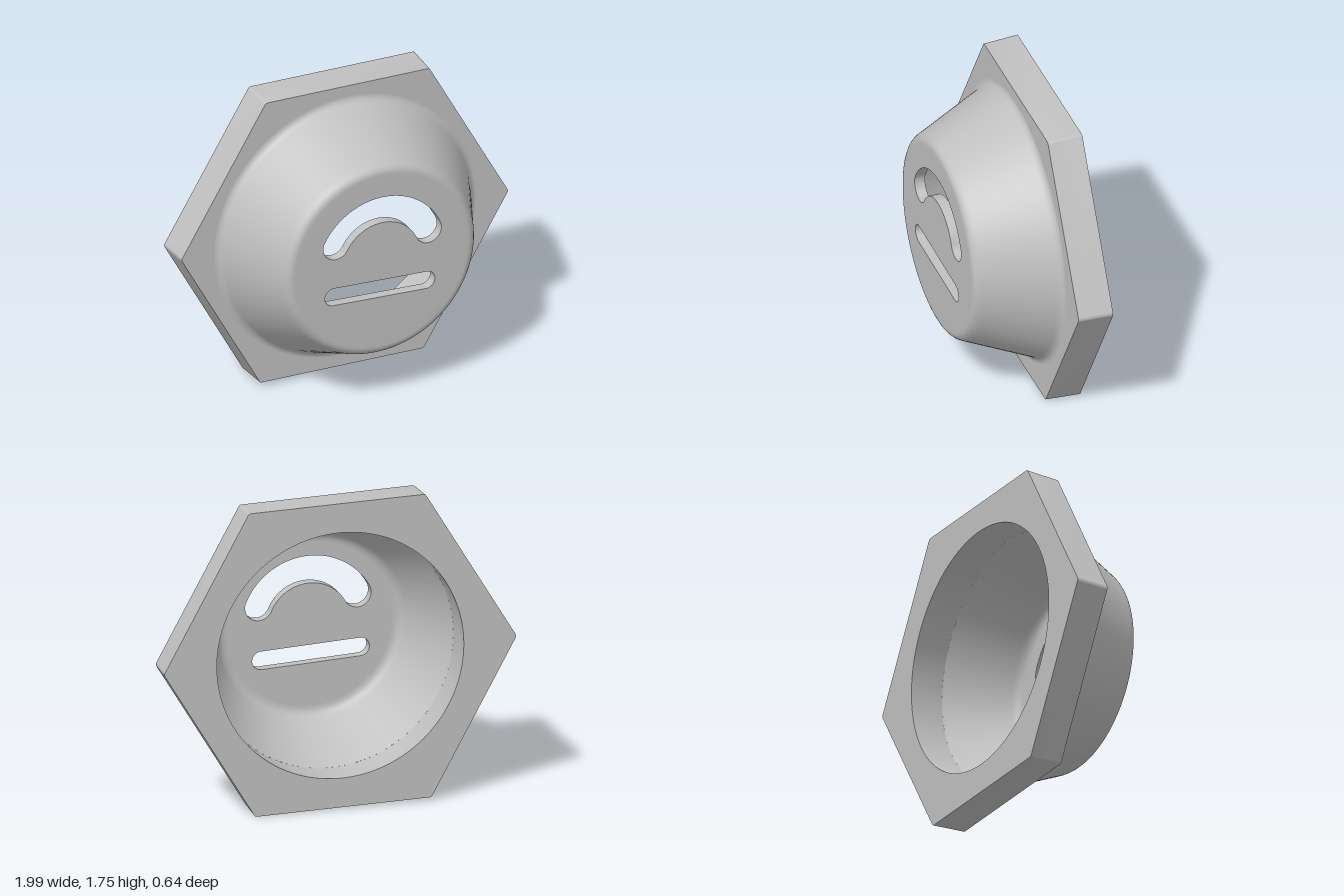
import * as THREE from 'three';
import { toCreasedNormals } from 'three/addons/utils/BufferGeometryUtils.js';

const SEGMENTS = 96;
const BACK = -0.323, STEP = -0.126, FRONT = 0.322, WALL = 0.06;
const FLAT = 0.47; // radius of the slotted face disc

// Hexagon with barely rounded corners and a round bore
function hexagonShape() {
  const shape = new THREE.Shape();
  const corner = (i) => new THREE.Vector2(Math.cos(i * Math.PI / 3), Math.sin(i * Math.PI / 3));
  for (let i = 0; i < 6; i++) {
    const c = corner(i);
    const a = c.clone().lerp(corner(i + 5), 0.012);
    const b = c.clone().lerp(corner(i + 1), 0.012);
    if (i === 0) shape.moveTo(a.x, a.y);
    else shape.lineTo(a.x, a.y);
    shape.quadraticCurveTo(c.x, c.y, b.x, b.y);
  }
  shape.closePath();
  shape.holes.push(new THREE.Path().absarc(0, 0, 0.7, 0, Math.PI * 2, true));
  return shape;
}

// Curved slot with round ends
function arcSlot(radius, half, halfSpan) {
  const a0 = Math.PI / 2 - halfSpan, a1 = Math.PI / 2 + halfSpan;
  const at = (a) => [radius * Math.cos(a), radius * Math.sin(a)];
  const path = new THREE.Path();
  path.absarc(0, 0, radius + half, a0, a1, false);
  path.absarc(...at(a1), half, a1, a1 + Math.PI, false);
  path.absarc(0, 0, radius - half, a1, a0, true);
  path.absarc(...at(a0), half, a0 + Math.PI, a0 + Math.PI * 2, false);
  return path;
}

// Straight slot with round ends
function straightSlot(y, halfLength, half) {
  const path = new THREE.Path();
  path.absarc(halfLength, y, half, -Math.PI / 2, Math.PI / 2, false);
  path.absarc(-halfLength, y, half, Math.PI / 2, Math.PI * 1.5, false);
  path.closePath();
  return path;
}

// Revolve a profile about the z axis
function revolve(path) {
  return new THREE.LatheGeometry(path.getPoints(8), SEGMENTS).rotateX(Math.PI / 2);
}

export function createModel() {
  const model = new THREE.Group();
  model.name = 'hexFlangedCup';
  const grey = new THREE.MeshStandardMaterial({ color: 0xc0c0c0 });
  grey.name = 'grey';
  const add = (parent, name, geometry) => {
    const mesh = new THREE.Mesh(geometry, grey);
    mesh.name = name;
    parent.add(mesh);
  };

  // Hexagonal flange, drafted slightly towards the front
  const plate = new THREE.ExtrudeGeometry(hexagonShape(), {
    depth: STEP - BACK, bevelEnabled: false, curveSegments: SEGMENTS,
  });
  const p = plate.attributes.position;
  for (let i = 0; i < p.count; i++) {
    if (p.getZ(i) > 0.1 && Math.hypot(p.getX(i), p.getY(i)) > 0.8) {
      p.setXY(i, p.getX(i) * 0.99, p.getY(i) * 0.99);
    }
  }
  plate.translate(0, 0, BACK);
  const flange = new THREE.Group();
  flange.name = 'flange';
  flange.rotation.z = -0.02;
  add(flange, 'hexagonPlate', toCreasedNormals(plate, 0.5));
  model.add(flange);

  const cup = new THREE.Group();
  cup.name = 'cup';
  cup.rotation.z = -0.049;
  model.add(cup);

  // Outside of the cup: foot fillet, cone, rounded rim
  const outer = new THREE.Path();
  outer.moveTo(0.79, STEP);
  outer.quadraticCurveTo(0.762, STEP + 0.002, 0.746, -0.09);
  outer.lineTo(0.594, 0.25);
  outer.bezierCurveTo(0.578, 0.29, 0.563, FRONT, 0.525, FRONT);
  outer.lineTo(FLAT, FRONT);
  add(cup, 'outerWall', revolve(outer));

  // Inside of the cup: floor fillet and cone down to the bore
  const inner = new THREE.Path();
  inner.moveTo(FLAT, FRONT - WALL);
  inner.bezierCurveTo(0.505, FRONT - WALL, 0.525, 0.24, 0.54, 0.205);
  inner.lineTo(0.7, STEP);
  add(cup, 'innerWall', revolve(inner));

  // Front face with its two slots
  const disc = new THREE.Shape().absarc(0, 0, FLAT, 0, Math.PI * 2, false);
  disc.holes.push(arcSlot(0.311, 0.078, 1.12), straightSlot(-0.171, 0.281, 0.052));
  const face = new THREE.ExtrudeGeometry(disc, {
    depth: WALL, bevelEnabled: false, curveSegments: SEGMENTS,
  });
  face.translate(0, 0, FRONT - WALL);
  add(cup, 'slottedFace', toCreasedNormals(face, 0.5));

  model.position.y = 0.876;
  const root = new THREE.Group();
  root.name = 'model';
  root.add(model);
  return root;
}
